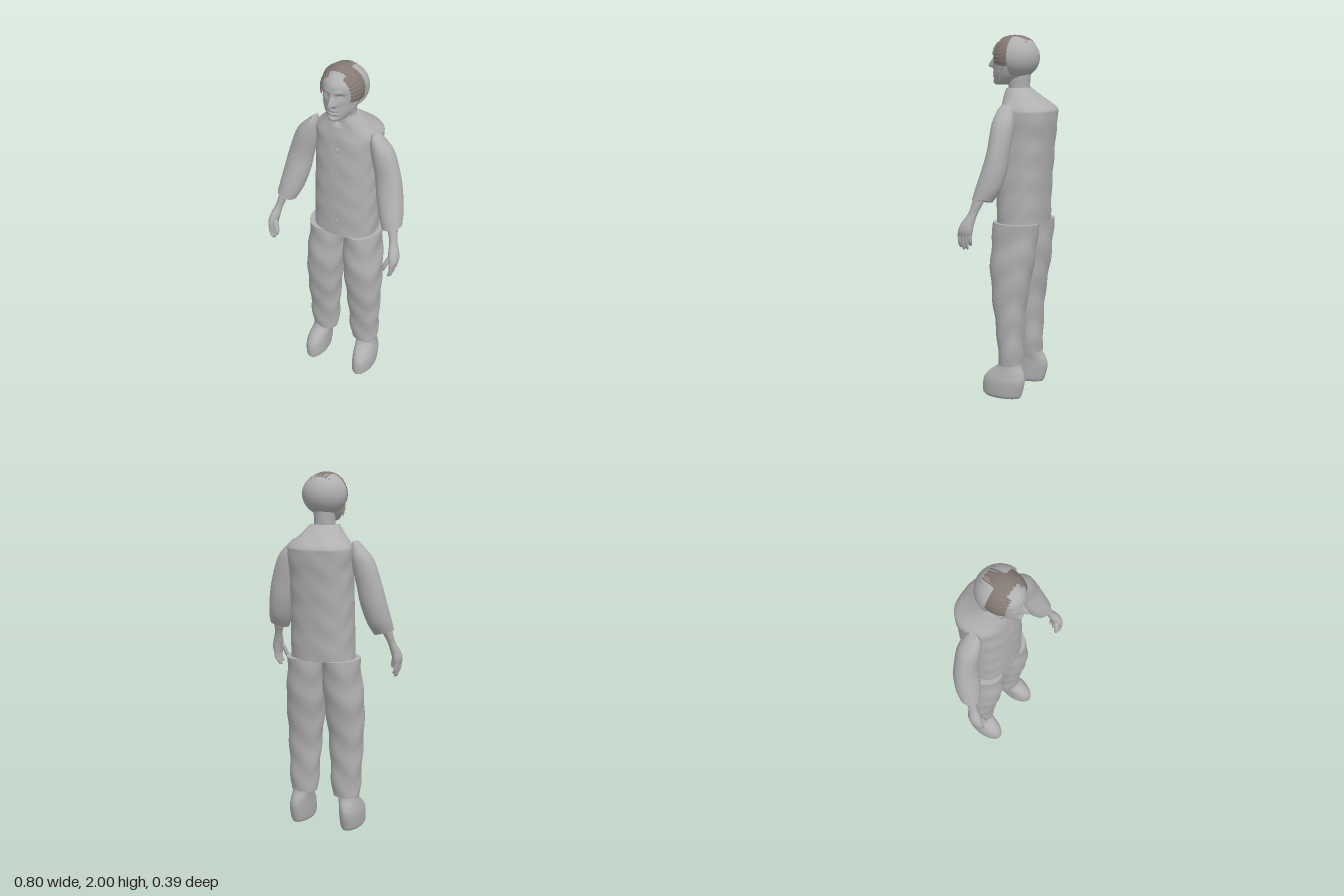
import * as THREE from 'three';

const grey = new THREE.MeshStandardMaterial({ color: 0xb0b0b0, side: THREE.DoubleSide });
grey.name = 'plainGrey';
const brown = new THREE.MeshStandardMaterial({ color: 0x857a74, side: THREE.DoubleSide });
brown.name = 'hairBrown';

// Smooth stack of rounded rings. Each section: [y, centre x, half width, front z, back z], rising in y.
function loft(sections, { sides = 32, steps = 5, power = 2, warp = null } = {}) {
  const a = new THREE.CatmullRomCurve3(sections.map(s => new THREE.Vector3(s[1], s[0], s[2])), false, 'catmullrom', 0.5);
  const b = new THREE.CatmullRomCurve3(sections.map(s => new THREE.Vector3(s[3], s[4], 0)), false, 'catmullrom', 0.5);
  const rows = (sections.length - 1) * steps, pos = [], idx = [];
  const round = v => Math.sign(v) * Math.abs(v) ** (2 / power);
  for (let i = 0; i <= rows; i++) {
    const p = a.getPoint(i / rows), q = b.getPoint(i / rows);
    const cz = (q.x + q.y) / 2, rz = (q.x - q.y) / 2;
    for (let j = 0; j < sides; j++) {
      const t = j / sides * Math.PI * 2;
      const v = new THREE.Vector3(p.x + p.z * round(Math.cos(t)), p.y, cz + rz * round(Math.sin(t)));
      if (warp) warp(v, t, i / rows);
      pos.push(v.x, v.y, v.z);
    }
  }
  for (let i = 0; i < rows; i++) for (let j = 0; j < sides; j++) {
    const k = (j + 1) % sides, m = i * sides, n = m + sides;
    idx.push(m + j, n + j, m + k, n + j, n + k, m + k);
  }
  // End caps use their own vertices so the rims stay sharp
  for (const row of [0, rows]) {
    const start = pos.length / 3, c = new THREE.Vector3();
    for (let j = 0; j < sides; j++) {
      const v = new THREE.Vector3().fromArray(pos, (row * sides + j) * 3);
      pos.push(v.x, v.y, v.z);
      c.addScaledVector(v, 1 / sides);
    }
    pos.push(c.x, c.y, c.z);
    for (let j = 0; j < sides; j++) {
      const k = (j + 1) % sides;
      if (row === 0) idx.push(start + sides, start + j, start + k);
      else idx.push(start + sides, start + k, start + j);
    }
  }
  const g = new THREE.BufferGeometry();
  g.setAttribute('position', new THREE.Float32BufferAttribute(pos, 3));
  g.setIndex(idx);
  g.computeVertexNormals();
  return g;
}

export function createModel() {
  const model = new THREE.Group();
  const add = (name, geometry, material = grey) => {
    const m = new THREE.Mesh(geometry, material);
    m.name = name;
    model.add(m);
    return m;
  };
  const bump = (d, w) => Math.exp(-(d * d) / (w * w));

  // Shirt: soft folds, and a V opening at the front of the collar
  add('shirt', loft([
    [0.985, 0.008, 0.182, 0.113, -0.155], [1.2, 0.008, 0.179, 0.113, -0.165],
    [1.44, 0.008, 0.176, 0.105, -0.185], [1.57, 0.01, 0.181, 0.095, -0.199],
    [1.61, 0.01, 0.175, 0.09, -0.192], [1.66, 0.01, 0.13, 0.082, -0.13],
    [1.72, 0.01, 0.08, 0.07, -0.05],
  ], {
    sides: 64, steps: 8, power: 2.3, warp: (v, t, u) => {
      const fold = 0.0025 * Math.sin(v.y * 42 + 3 * Math.sin(t * 2)) * Math.sin(t * 3 + 1);
      v.x += fold * Math.cos(t);
      v.z += fold * Math.sin(t);
      if (v.z > 0) v.y -= 0.05 * bump(v.x - 0.01, 0.035) * Math.max(0, (u - 0.83) / 0.17);
    },
  }));
  for (let i = 0; i < 4; i++) {
    const b = add('shirtButton', new THREE.SphereGeometry(0.012, 12, 8));
    b.position.set(0.01, 1.08 + i * 0.15, 0.112 - i * 0.004);
    b.scale.z = 0.35;
  }

  // Neck
  add('neck', loft([
    [1.63, 0.012, 0.062, 0.06, -0.05], [1.72, 0.012, 0.058, 0.065, -0.052],
    [1.82, 0.012, 0.062, 0.07, -0.06],
  ]));

  // Head with brow, eyes, nose, lips and chin pushed into the front surface
  add('head', loft([
    [1.733, 0.014, 0.03, 0.145, 0.05], [1.745, 0.014, 0.05, 0.155, 0.01],
    [1.78, 0.014, 0.077, 0.155, -0.045], [1.83, 0.014, 0.093, 0.153, -0.085],
    [1.88, 0.014, 0.099, 0.155, -0.098], [1.93, 0.014, 0.094, 0.152, -0.09],
    [1.965, 0.014, 0.066, 0.122, -0.06], [1.985, 0.014, 0.035, 0.08, -0.02],
    [1.992, 0.014, 0.01, 0.05, 0.01],
  ], {
    sides: 112, steps: 9, warp: v => {
      if (v.z < 0.05) return;
      const x = v.x - 0.014, y = v.y;
      const ridge = y > 1.833 ? bump(y - 1.833, 0.038) : bump(y - 1.833, 0.011);
      v.z += 0.038 * bump(x, 0.014) * ridge
        + 0.008 * bump(Math.abs(x) - 0.015, 0.01) * bump(y - 1.832, 0.01)
        - 0.015 * bump(Math.abs(x) - 0.038, 0.018) * bump(y - 1.875, 0.014)
        + 0.006 * bump(Math.abs(x) - 0.038, 0.012) * bump(y - 1.872, 0.006)
        + 0.006 * bump(Math.abs(x) - 0.035, 0.025) * bump(y - 1.9, 0.01)
        + 0.008 * bump(x, 0.024) * (bump(y - 1.797, 0.006) + bump(y - 1.78, 0.006))
        - 0.006 * bump(x, 0.028) * (bump(y - 1.788, 0.004) + bump(y - 1.765, 0.008))
        + 0.005 * bump(x, 0.025) * bump(y - 1.75, 0.012);
    },
  }));

  // Rounded shell over the back of the head
  const shell = add('skullShell', new THREE.SphereGeometry(1, 40, 28, Math.PI, Math.PI));
  shell.scale.set(0.127, 0.116, 0.128);
  shell.position.set(0.015, 1.881, 0.022);

  // Hair patches on both temples and the crown, with ragged edges
  const hairPatch = (name, phi, phiLength, theta, thetaLength, depth) => {
    const g = new THREE.SphereGeometry(1, 32, 12, phi, phiLength, theta, thetaLength).rotateX(Math.PI / 2);
    const p = g.attributes.position;
    for (let i = 0; i < p.count; i++) {
      const col = i % 33;
      p.setZ(i, p.getZ(i) + 0.05 * Math.sin(col * 2.4) * Math.sin(col * 0.9));
    }
    g.scale(0.114, 0.12, depth).translate(0.014, 1.88, 0.03);
    g.computeVertexNormals();
    add(name, g, brown);
  };
  hairPatch('rightTempleHair', Math.PI * 1.65, Math.PI * 0.47, 0.85, 0.85, 0.13);
  hairPatch('leftTempleHair', Math.PI * 0.88, Math.PI * 0.47, 0.85, 0.85, 0.13);
  hairPatch('crownHair', Math.PI * 1.22, Math.PI * 0.56, 1.1, 1.15, 0.14);

  for (const s of [1, -1]) {
    const side = s > 0 ? 'left' : 'right';
    const limb = (name, sections, options) =>
      add(side + name, loft(sections.map(([y, x, r, f, b]) => [y, x * s + 0.005, r, f, b]), options));

    // Wispy locks in front of the ear
    for (let i = 0; i < 3; i++) {
      const lock = add(side + 'Lock', new THREE.ConeGeometry(0.011, 0.06, 6));
      lock.position.set(0.014 + s * (0.088 - i * 0.006), 1.815 - i * 0.018, 0.065 + i * 0.012);
      lock.rotation.set(Math.PI - 0.2, 0, s * 0.15);
    }

    // Sleeve, with a slanted cuff
    limb('Sleeve', [
      [1.135, 0.322, 0.054, 0.128, 0.018], [1.2, 0.302, 0.066, 0.115, -0.02],
      [1.3, 0.278, 0.072, 0.088, -0.045], [1.4, 0.258, 0.07, 0.066, -0.053],
      [1.53, 0.221, 0.063, 0.06, -0.06], [1.6, 0.191, 0.035, 0.048, -0.045],
      [1.635, 0.178, 0.012, 0.028, -0.028],
    ], { warp: (v, t, u) => { v.y += s * Math.cos(t) * 0.015 * (1 - u); } });

    // Forearm and palm
    limb('Hand', [
      [0.945, 0.373, 0.019, 0.192, 0.112], [0.98, 0.374, 0.026, 0.19, 0.105],
      [1.02, 0.366, 0.027, 0.172, 0.1], [1.07, 0.352, 0.021, 0.14, 0.087],
      [1.12, 0.338, 0.026, 0.125, 0.065], [1.19, 0.318, 0.034, 0.11, 0.04],
    ], { sides: 20 });
    // Fingers, back to front, and thumb
    for (let i = 0; i < 4; i++) {
      const z = 0.122 + i * 0.02, tip = [0.895, 0.876, 0.872, 0.885][i];
      limb('Finger', [
        [tip, 0.36, 0.004, z + 0.006, z - 0.002], [tip + 0.012, 0.364, 0.009, z + 0.011, z - 0.007],
        [0.92, 0.372, 0.011, z + 0.011, z - 0.01], [0.965, 0.375, 0.013, z + 0.012, z - 0.011],
      ], { sides: 10, steps: 3 });
    }
    limb('Thumb', [
      [0.915, 0.331, 0.005, 0.188, 0.178], [0.935, 0.334, 0.011, 0.195, 0.168],
      [0.97, 0.345, 0.013, 0.187, 0.157], [1.005, 0.362, 0.014, 0.17, 0.14],
    ], { sides: 10, steps: 4 });

    // Trouser leg
    limb('TrouserLeg', [
      [0.19, 0.132, 0.076, 0.06, -0.066], [0.28, 0.13, 0.086, 0.068, -0.07],
      [0.4, 0.129, 0.091, 0.078, -0.073], [0.55, 0.126, 0.099, 0.1, -0.087],
      [0.75, 0.117, 0.108, 0.119, -0.122], [0.88, 0.108, 0.102, 0.114, -0.14],
      [0.99, 0.104, 0.102, 0.11, -0.151],
    ], {
      sides: 40, steps: 7, power: 2.2, warp: (v, t) => {
        const fold = 0.003 * Math.sin(v.y * 34 + Math.sin(t * 2) * 2);
        v.x += fold * Math.cos(t);
        v.z += fold * Math.sin(t);
      },
    });

    // Shoe
    limb('Shoe', [
      [0, 0.156, 0.05, 0.148, -0.068], [0.02, 0.157, 0.06, 0.159, -0.078],
      [0.09, 0.157, 0.062, 0.155, -0.095], [0.135, 0.152, 0.058, 0.125, -0.09],
      [0.18, 0.144, 0.056, 0.07, -0.068], [0.23, 0.137, 0.058, 0.05, -0.058],
    ]);
  }
  return model;
}
